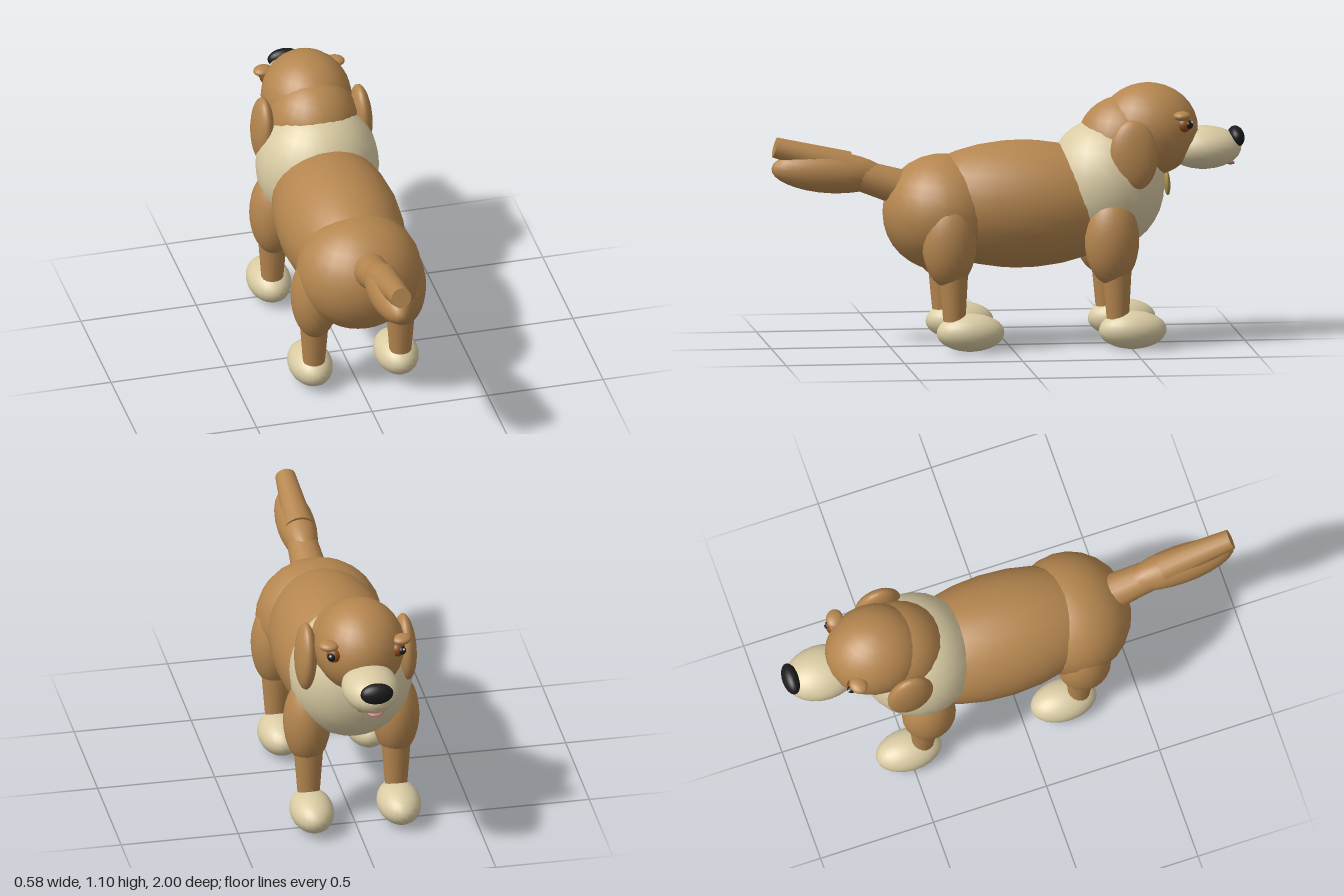
import * as THREE from 'three';

const mat = (color) => new THREE.MeshStandardMaterial({ color });
const fur = mat(0xb5864f), cream = mat(0xd9cba3), black = mat(0x1c1a1a);
const iris = mat(0x8a4a18), pink = mat(0xc47a7a), gold = mat(0xa8904a), white = mat(0xffffff);

export function createModel() {
  const dog = new THREE.Group();
  dog.name = 'dog';

  // Smooth ellipsoid; the animal looks towards -z
  function blob(name, material, pos, radii, rot = [0, 0, 0]) {
    const mesh = new THREE.Mesh(new THREE.SphereGeometry(1, 24, 16), material);
    mesh.name = name;
    mesh.position.set(...pos);
    mesh.scale.set(...radii);
    mesh.rotation.set(...rot);
    dog.add(mesh);
    return mesh;
  }

  // Tapered cylinder between two points
  function limb(name, from, to, r0, r1) {
    const a = new THREE.Vector3(...from), b = new THREE.Vector3(...to);
    const dir = b.clone().sub(a);
    const mesh = new THREE.Mesh(new THREE.CylinderGeometry(r1, r0, dir.length(), 16), fur);
    mesh.name = name;
    mesh.position.copy(a).add(b).multiplyScalar(0.5);
    mesh.quaternion.setFromUnitVectors(new THREE.Vector3(0, 1, 0), dir.normalize());
    dog.add(mesh);
  }

  // Trunk
  blob('body', fur, [0, 0.6, -0.05], [0.26, 0.268, 0.5]);
  blob('hips', fur, [0, 0.57, 0.28], [0.265, 0.245, 0.25]);
  blob('chest', cream, [0, 0.68, -0.41], [0.26, 0.28, 0.25]);
  blob('neck', fur, [0, 0.85, -0.49], [0.19, 0.2, 0.2]);

  // Head
  blob('head', fur, [0, 0.905, -0.59], [0.19, 0.197, 0.212]);
  blob('muzzle', cream, [0, 0.825, -0.825], [0.12, 0.091, 0.16]);
  blob('nose', black, [0, 0.868, -0.962], [0.07, 0.045, 0.035], [0.2, 0, 0]);
  blob('tongue', pink, [0, 0.765, -0.922], [0.038, 0.012, 0.036], [-0.25, 0, 0]);
  blob('collarTag', gold, [0, 0.68, -0.67], [0.042, 0.056, 0.014], [0.08, 0, 0]);

  for (const [side, s] of [['left', 1], ['right', -1]]) {
    // Face details and ears
    blob(side + 'Ear', fur, [s * 0.213, 0.825, -0.505], [0.045, 0.148, 0.1], [0.06, 0, s * 0.04]);
    blob(side + 'Eye', iris, [s * 0.135, 0.94, -0.725], [0.032, 0.032, 0.032]);
    blob(side + 'Pupil', black, [s * 0.15, 0.942, -0.744], [0.018, 0.018, 0.018]);
    blob(side + 'EyeGlint', white, [s * 0.157, 0.952, -0.757], [0.005, 0.005, 0.005]);
    blob(side + 'Brow', fur, [s * 0.156, 0.98, -0.715], [0.042, 0.02, 0.036], [0, s * -0.4, 0]);

    // Legs
    for (const [end, z, shinZ, pawZ] of [['Front', -0.415, -0.44, -0.503], ['Hind', 0.272, 0.25, 0.182]]) {
      blob(side + end + 'Thigh', fur, [s * 0.189, 0.465, z], [0.1, 0.19, 0.115]);
      limb(side + end + 'Shin', [s * 0.187, 0.135, shinZ], [s * 0.187, 0.36, shinZ + 0.005], 0.047, 0.064);
      blob(side + end + 'Paw', cream, [s * 0.186, 0.084, pawZ], [0.092, 0.08, 0.143]);
    }
  }

  // Tail
  limb('tailBase', [0, 0.66, 0.4], [0, 0.755, 0.7], 0.08, 0.06);
  blob('tailMiddle', fur, [0, 0.747, 0.757], [0.08, 0.088, 0.243], [-0.08, 0, 0]);
  limb('tailTip', [0, 0.77, 0.68], [0, 0.856, 0.985], 0.065, 0.043);

  return dog;
}
